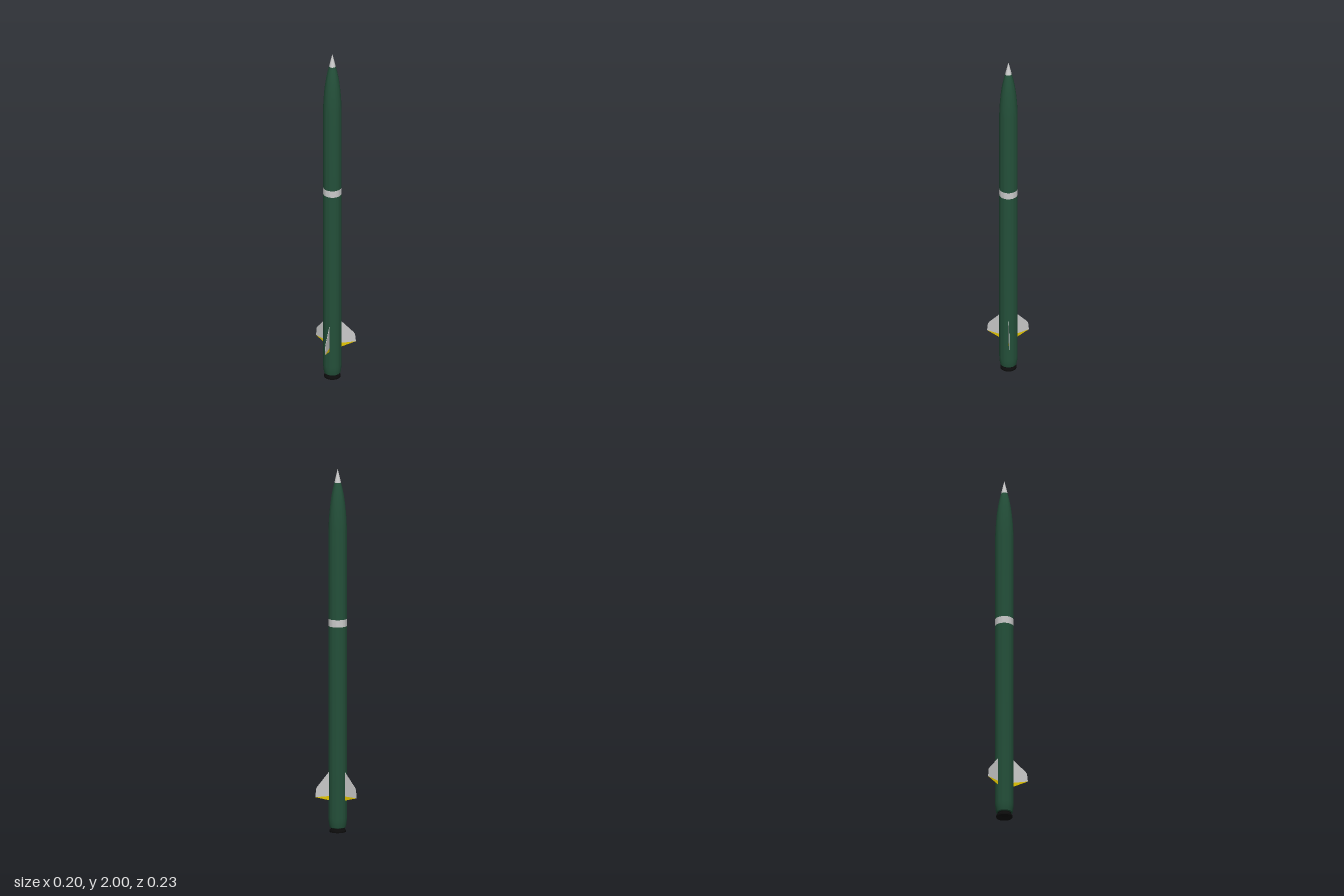
import * as THREE from 'three';
import { toCreasedNormals } from 'three/addons/utils/BufferGeometryUtils.js';

const SEGMENTS = 48;
const mat = (color) => new THREE.MeshStandardMaterial({ color });

// Solid of revolution from [radius, height] pairs, listed bottom to top
function turned(name, profile, material) {
  const points = profile.map(([r, y]) => new THREE.Vector2(r, y));
  const mesh = new THREE.Mesh(toCreasedNormals(new THREE.LatheGeometry(points, SEGMENTS), 0.5), material);
  mesh.name = name;
  return mesh;
}

// Thin plate in the xy plane from [radius, height] corners
function plate(name, corners, thickness, material) {
  const shape = new THREE.Shape(corners.map(([x, y]) => new THREE.Vector2(x, y)));
  const geometry = new THREE.ExtrudeGeometry(shape, { depth: thickness, bevelEnabled: false });
  geometry.translate(0, 0, -thickness / 2);
  const mesh = new THREE.Mesh(geometry, material);
  mesh.name = name;
  return mesh;
}

export function createModel() {
  const green = mat(0x24503a);
  const grey = mat(0xcccccc);
  const yellow = mat(0xe6c800);
  const black = mat(0x0c0c0c);

  const R = 0.05;
  const rocket = new THREE.Group();
  rocket.name = 'rocket';

  // Lower body with a rounded, tapering tail closed underneath
  rocket.add(turned('lowerBody', [
    [0, 0.024], [0.04, 0.024], [0.044, 0.027], [0.047, 0.042], [0.049, 0.06], [R, 0.08], [R, 1.135],
  ], green));

  // Pale ring around the middle
  rocket.add(turned('bodyBand', [[R, 1.135], [R, 1.175]], grey));

  // Upper body running into the ogive nose
  rocket.add(turned('upperBody', [
    [R, 1.175], [R, 1.66], [0.0487, 1.7], [0.0458, 1.75], [0.041, 1.8],
    [0.0342, 1.85], [0.026, 1.892], [0.0178, 1.925],
  ], green));

  // Pointed pale tip
  rocket.add(turned('noseTip', [[0.0178, 1.925], [0.009, 1.964], [0, 2]], grey));

  // Short flared engine nozzle, hollow below
  rocket.add(turned('nozzle', [
    [0, 0.016], [0.03, 0.016], [0.041, 0], [0.044, 0], [0.044, 0.008], [0.037, 0.018], [0.037, 0.025],
  ], black));

  // Three fins with coloured trailing edges
  for (let i = 0; i < 3; i++) {
    const fin = new THREE.Group();
    fin.name = `fin${i + 1}`;
    fin.add(
      plate('finPanel', [[0.046, 0.2], [0.13, 0.2], [0.125, 0.246], [0.117, 0.259], [R, 0.334], [0.046, 0.334]], 0.0016, grey),
      plate('finTrailingEdge', [[0.046, 0.177], [R, 0.177], [0.13, 0.2], [0.046, 0.2]], 0.0016, yellow),
    );
    fin.rotation.y = (i * Math.PI * 2) / 3;
    rocket.add(fin);
  }

  // Shift the axis so the uneven fin span is centred on x
  rocket.position.x = -0.033;
  const model = new THREE.Group();
  model.name = 'model';
  model.add(rocket);
  return model;
}
